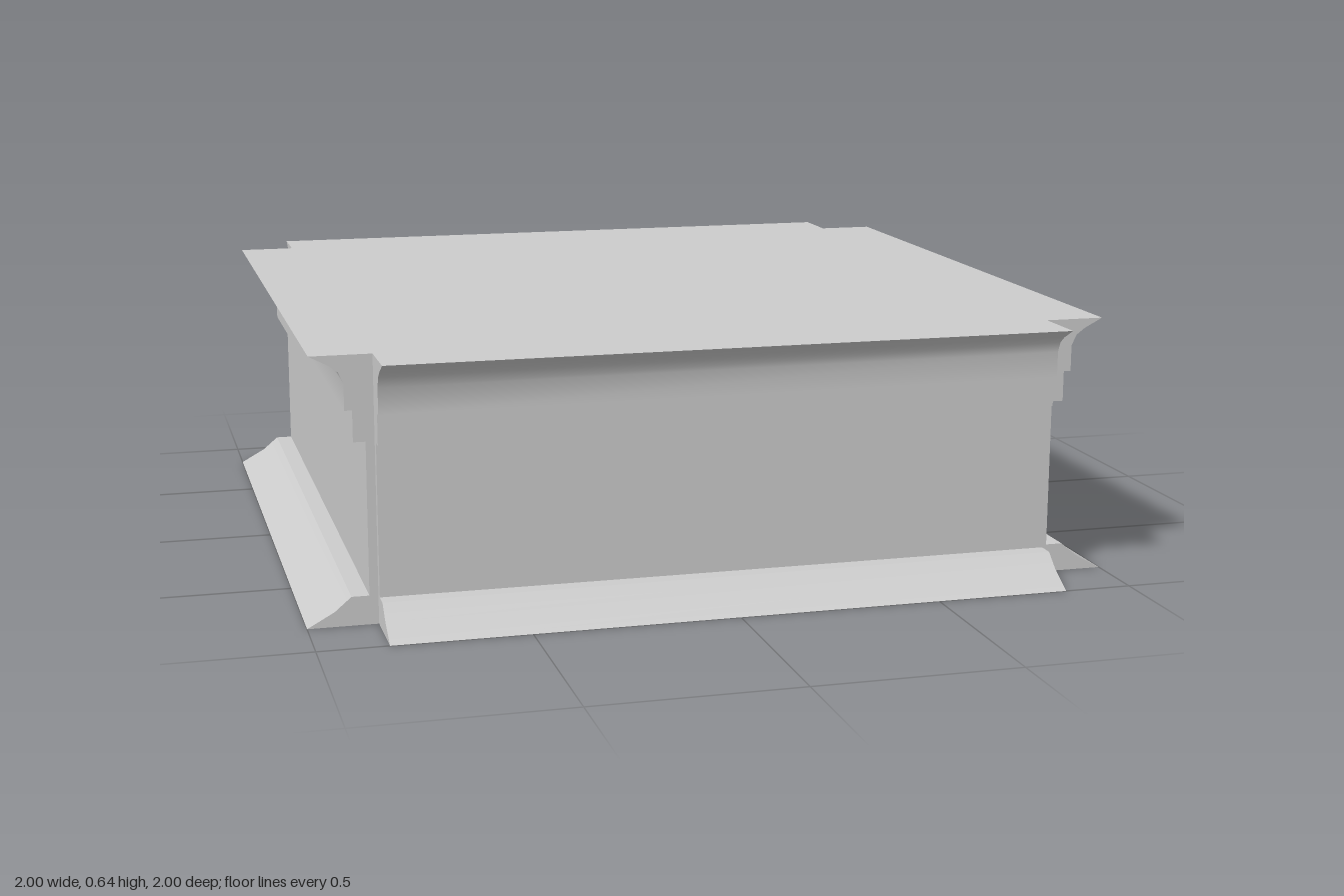
import * as THREE from 'three';
import { toCreasedNormals } from 'three/addons/utils/BufferGeometryUtils.js';

const HALF = 0.832;   // half width of the square core
const HEIGHT = 0.643;

export function createModel() {
  const group = new THREE.Group();
  group.name = 'pedestal';
  const material = new THREE.MeshStandardMaterial({ color: 0xcccccc });

  // Square core
  const core = new THREE.Mesh(new THREE.BoxGeometry(2 * HALF, HEIGHT, 2 * HALF), material);
  core.name = 'core';
  core.position.y = HEIGHT / 2;
  group.add(core);

  // Moulding profile: flared foot, flat panel, two stepped bands, flared cornice
  const profile = [
    [HALF, 0], [1, 0], [0.935, 0.036], [0.895, 0.07], [0.853, 0.07],
    [0.853, 0.438], [0.882, 0.438], [0.882, 0.513], [0.9, 0.513],
    [0.9, 0.577], [0.912, 0.603], [0.933, 0.619], [0.979, HEIGHT], [HALF, HEIGHT],
  ];
  const shape = new THREE.Shape(profile.map(([x, y]) => new THREE.Vector2(x, y)));
  const extruded = new THREE.ExtrudeGeometry(shape, { depth: 2 * HALF, bevelEnabled: false });
  extruded.translate(0, 0, -HALF);
  const strip = toCreasedNormals(extruded, 0.55);

  // One straight strip per side, leaving the corners notched
  ['left', 'back', 'right', 'front'].forEach((side, i) => {
    const mesh = new THREE.Mesh(strip, material);
    mesh.name = side + 'Moulding';
    mesh.rotation.y = i * Math.PI / 2;
    group.add(mesh);
  });

  return group;
}
